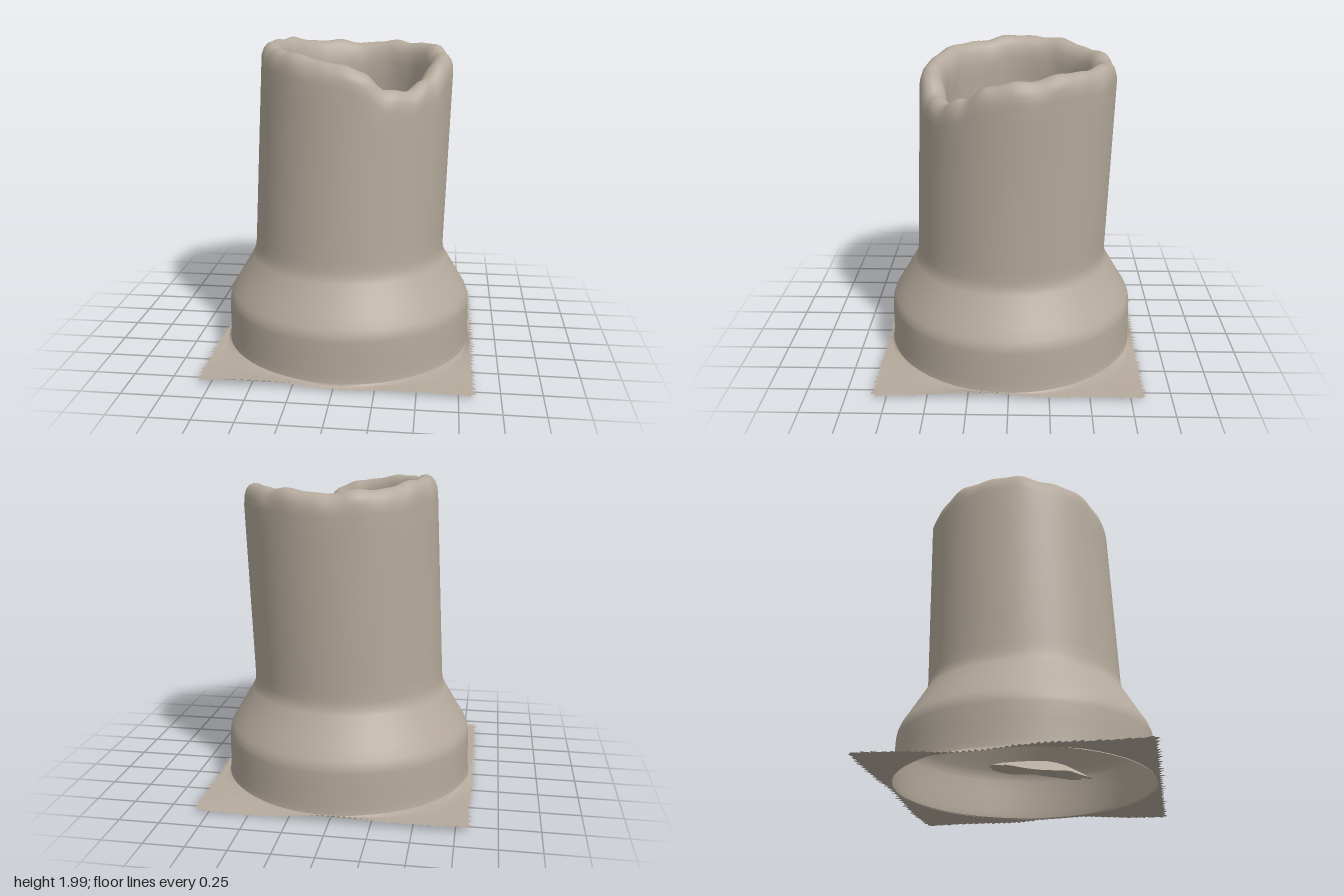
import * as THREE from 'three';

const lerp = THREE.MathUtils.lerp;

// Smooth periodic lookup through [degrees, value] pairs
function around(keys) {
  return (theta) => {
    const d = ((theta * 180 / Math.PI) % 360 + 360) % 360;
    let i = keys.length - 1;
    while (i > 0 && keys[i][0] > d) i--;
    const a = keys[i];
    const b = i + 1 < keys.length ? keys[i + 1] : [360, keys[0][1]];
    const t = (d - a[0]) / (b[0] - a[0]);
    return lerp(a[1], b[1], t * t * (3 - 2 * t));
  };
}

// Repeatable number between 0 and 1
function noise(n) {
  const s = Math.sin(n * 12.9898) * 43758.5453;
  return s - Math.floor(s);
}

// Skin through closed rings; each ring is a function (theta, index) -> [x, y, z]
function skin(name, rings, segments, material) {
  const positions = [], index = [];
  rings.forEach((ring, r) => {
    for (let i = 0; i < segments; i++) {
      positions.push(...ring(i / segments * Math.PI * 2, i));
      if (r === 0) continue;
      const j = (i + 1) % segments, low = (r - 1) * segments, high = r * segments;
      index.push(low + i, high + i, low + j, low + j, high + i, high + j);
    }
  });
  const geometry = new THREE.BufferGeometry();
  geometry.setAttribute('position', new THREE.Float32BufferAttribute(positions, 3));
  geometry.setIndex(index);
  geometry.computeVertexNormals();
  const mesh = new THREE.Mesh(geometry, material);
  mesh.name = name;
  return mesh;
}

// Height of the broken rim, and radius and height of the ragged lower end of the bore
const rimHeight = around([[0, 1.92], [18, 1.88], [35, 1.80], [50, 1.74], [65, 1.76], [80, 1.86], [95, 1.91],
  [120, 1.95], [150, 1.97], [185, 1.995], [210, 1.98], [240, 1.95], [270, 1.935], [300, 1.95], [330, 1.95]]);
const hemRadius = around([[0, 0.25], [30, 0.29], [60, 0.33], [90, 0.41], [120, 0.43], [150, 0.43], [180, 0.41],
  [205, 0.34], [225, 0.34], [255, 0.41], [290, 0.40], [300, 0.31], [330, 0.29]]);
const hemHeight = around([[0, 0.45], [30, 0.45], [60, 0.55], [90, 0.7], [120, 0.75], [150, 0.75], [180, 0.7],
  [205, 0.55], [225, 0.5], [255, 0.45], [290, 0.45], [330, 0.42]]);

// The pipe leans slightly to +x and -z above the flange
function leaning(theta, radius, y) {
  const t = Math.max(0, (y - 0.65) / 1.3);
  return [
    0.01 + 0.05 * t + radius * Math.cos(theta),
    y,
    -0.05 * t + radius * Math.sin(theta),
  ];
}

export function createModel() {
  const stone = new THREE.MeshStandardMaterial({ color: 0xb5aa9c, side: THREE.DoubleSide });
  stone.name = 'weathered stone';
  const group = new THREE.Group();
  group.name = 'brokenPipe';

  // Thin square ground sheet with a torn, saw-toothed border
  const sheetRings = [1, 0.8, 0.6, 0.4, 0.2, 0].map((t) => (theta, i) => {
    const c = Math.cos(theta), s = Math.sin(theta);
    let edge = 0.825 / Math.max(Math.abs(c), Math.abs(s));
    if (t === 1) edge += (i % 2 ? 0.03 : -0.005) * (0.4 + 0.8 * noise(i));
    const r = lerp(0.805, edge, t);
    const ripple = 0.012 * Math.sin(3 * theta + 1) + 0.008 * Math.sin(7 * theta);
    return [r * c + 0.005, 0.03 + (t === 0 ? 0.012 : ripple * t), r * s];
  });
  group.add(skin('groundSheet', sheetRings, 320, stone));

  // Flared foot: collar, sloping shoulder and start of the pipe
  const footProfile = [[0.808, 0.038], [0.802, 0.08], [0.802, 0.2], [0.80, 0.3], [0.795, 0.335], [0.78, 0.375],
    [0.74, 0.44], [0.69, 0.525], [0.64, 0.61], [0.625, 0.645], [0.619, 0.69], [0.618, 0.76]];
  group.add(skin('flaredFoot', footProfile.map(([r, y]) => (theta) => leaning(theta, r, y)), 128, stone));

  // Pipe wall, rounded broken rim and bore in one skin
  const wall = [];
  for (let k = 0; k <= 8; k++) {
    wall.push((theta) => leaning(theta, lerp(0.618, 0.61, k / 8), lerp(0.76, rimHeight(theta) - 0.13, k / 8)));
  }
  const rimProfile = [[0.605, -0.08], [0.592, -0.04], [0.57, -0.012], [0.54, 0], [0.51, -0.006],
    [0.48, -0.03], [0.458, -0.07], [0.444, -0.14]];
  for (const [r, drop] of rimProfile) {
    wall.push((theta) => {
      const bump = 0.006 * Math.sin(9 * theta) + 0.004 * Math.sin(17 * theta + 2);
      return leaning(theta, r + bump * 0.5, Math.min(2, rimHeight(theta) + drop + bump));
    });
  }
  for (let k = 1; k <= 12; k++) {
    const t = k / 12;
    wall.push((theta, i) => {
      const ragged = k === 12 ? 0.025 * (noise(Math.floor(i / 3)) - 0.5) : 0;
      const y = lerp(rimHeight(theta) - 0.14, hemHeight(theta) + ragged, t);
      return leaning(theta, lerp(0.444, hemRadius(theta), t ** 3), y);
    });
  }
  group.add(skin('pipeWall', wall, 128, stone));

  // Loose patch of rubble at the bottom of the bore
  const patchRings = [1, 0.8, 0.6, 0.4, 0.2, 0.01].map((t) => (theta, i) => {
    const rough = t === 1 ? 0.9 + 0.2 * noise(Math.floor(i / 3)) : 1;
    const u = 0.31 * t * rough * Math.cos(theta), v = 0.2 * t * rough * Math.sin(theta);
    return [
      -0.25 + 0.6 * u - 0.8 * v,
      0.12 - 0.07 * t * t - 0.2 * v + 0.01 * Math.sin(12 * u),
      0.13 + 0.8 * u + 0.6 * v,
    ];
  });
  group.add(skin('rubblePatch', patchRings, 48, stone));

  return group;
}
